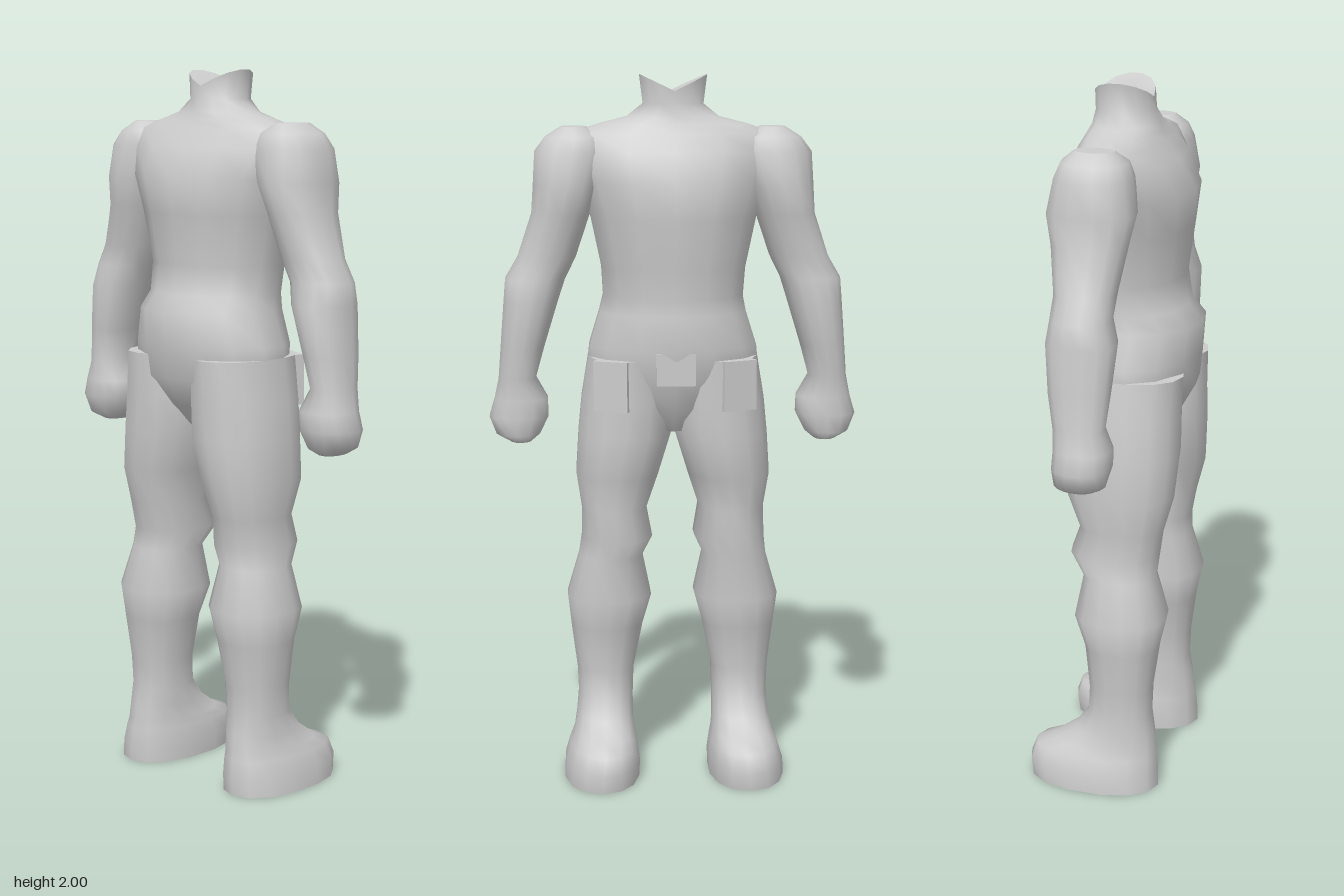
import * as THREE from 'three';

const SEG = 14;

// Skin horizontal rings, listed from top to bottom.
// ring = [y, xMin, xMax, zMin, zMax, sideLift]
function loft(rings, round = 0.9) {
  const pos = [], idx = [];
  const bend = v => Math.sign(v) * Math.pow(Math.abs(v), round);
  const addRing = ([y, x0, x1, z0, z1, lift = 0]) => {
    const start = pos.length / 3;
    for (let i = 0; i < SEG; i++) {
      const t = (i / SEG) * Math.PI * 2, c = bend(Math.cos(t)), s = bend(Math.sin(t));
      pos.push((x0 + x1) / 2 + c * (x1 - x0) / 2, y + lift * Math.abs(s), (z0 + z1) / 2 + s * (z1 - z0) / 2);
    }
    return start;
  };
  const addCap = (ring, top) => {
    const start = addRing(ring), centre = pos.length / 3;
    pos.push((ring[1] + ring[2]) / 2, ring[0], (ring[3] + ring[4]) / 2);
    for (let i = 0; i < SEG; i++) {
      const a = start + i, b = start + (i + 1) % SEG;
      if (top) idx.push(centre, b, a); else idx.push(centre, a, b);
    }
  };
  const starts = rings.map(addRing);
  for (let r = 0; r < rings.length - 1; r++) {
    for (let i = 0; i < SEG; i++) {
      const j = (i + 1) % SEG, p = starts[r], q = starts[r + 1];
      idx.push(p + i, p + j, q + i, p + j, q + j, q + i);
    }
  }
  addCap(rings[0], true);
  addCap(rings[rings.length - 1], false);
  const geo = new THREE.BufferGeometry();
  geo.setAttribute('position', new THREE.Float32BufferAttribute(pos, 3));
  geo.setIndex(idx);
  geo.computeVertexNormals();
  return geo;
}

// Neck, chest, waist and hips; half widths across z
const TORSO = [
  [1.955, -0.08, 0.08, 0.095, 0.045],
  [1.92, -0.085, 0.08, 0.085],
  [1.885, -0.1, 0.085, 0.13],
  [1.865, -0.105, 0.09, 0.21],
  [1.84, -0.12, 0.1, 0.29],
  [1.79, -0.155, 0.13, 0.3],
  [1.71, -0.2, 0.168, 0.27],
  [1.61, -0.19, 0.165, 0.235],
  [1.47, -0.172, 0.15, 0.205],
  [1.39, -0.185, 0.14, 0.2],
  [1.345, -0.225, 0.145, 0.21],
  [1.25, -0.215, 0.153, 0.24],
  [1.16, -0.205, 0.128, 0.25],
  [1.08, -0.16, 0.1, 0.17],
  [1.01, -0.1, 0.05, 0.06],
].map(([y, x0, x1, w, lift]) => [y, x0, x1, -w, w, lift]);

// Shoulder down to the closed hand
const ARM = [
  [1.858, -0.06, 0.05, 0.24, 0.31],
  [1.83, -0.095, 0.085, 0.19, 0.355],
  [1.79, -0.11, 0.1, 0.17, 0.385],
  [1.7, -0.125, 0.118, 0.2, 0.39],
  [1.62, -0.108, 0.1, 0.23, 0.395],
  [1.5, -0.088, 0.078, 0.27, 0.435],
  [1.44, -0.085, 0.078, 0.3, 0.47],
  [1.38, -0.105, 0.088, 0.32, 0.475],
  [1.25, -0.095, 0.075, 0.36, 0.485],
  [1.16, -0.085, 0.058, 0.385, 0.492],
  [1.1, -0.1, 0.058, 0.352, 0.505],
  [1.05, -0.1, 0.06, 0.35, 0.52],
  [1.0, -0.085, 0.055, 0.375, 0.5],
  [0.98, -0.05, 0.04, 0.4, 0.46],
];

// Thigh, knee, calf, ankle and foot with the toe along +x
const LEG = [
  [1.22, -0.205, 0.13, 0.01, 0.24],
  [1.1, -0.2, 0.125, 0, 0.26],
  [1.0, -0.2, 0.122, 0.003, 0.27],
  [0.88, -0.192, 0.115, 0.04, 0.277],
  [0.78, -0.165, 0.075, 0.073, 0.262],
  [0.7, -0.152, 0.105, 0.058, 0.262],
  [0.64, -0.147, 0.062, 0.085, 0.27],
  [0.52, -0.18, 0.085, 0.06, 0.305],
  [0.43, -0.16, 0.052, 0.085, 0.295],
  [0.3, -0.143, 0.04, 0.112, 0.278],
  [0.22, -0.14, 0.045, 0.115, 0.275],
  [0.165, -0.15, 0.085, 0.115, 0.28],
  [0.12, -0.155, 0.15, 0.112, 0.288],
  [0.098, -0.16, 0.205, 0.105, 0.3],
  [0.05, -0.165, 0.222, 0.098, 0.315],
  [0, -0.165, 0.215, 0.1, 0.318],
];

export function createModel() {
  const model = new THREE.Group();
  const grey = new THREE.MeshStandardMaterial({ color: 0xcccccc });
  grey.name = 'plain grey';

  const add = (name, geometry) => {
    const mesh = new THREE.Mesh(geometry, grey);
    mesh.name = name;
    model.add(mesh);
    return mesh;
  };
  const side = (rings, s) => rings.map(([y, x0, x1, z0, z1]) =>
    s > 0 ? [y, x0, x1, z0, z1] : [y, x0, x1, -z1, -z0]);

  add('torso', loft(TORSO, 1));

  // Limbs and thigh pockets on both sides
  for (const [s, label] of [[1, 'near'], [-1, 'far']]) {
    add(label + 'Arm', loft(side(ARM, s)));
    add(label + 'Leg', loft(side(LEG, s)));
    const pocket = add(label + 'Pocket', new THREE.BoxGeometry(0.03, 0.14, 0.1));
    pocket.position.set(0.105, 1.15, s * 0.175);
    pocket.rotation.y = -s * 0.4;
  }

  // Belt buckle
  add('buckle', new THREE.BoxGeometry(0.02, 0.09, 0.11)).position.set(0.135, 1.2, 0);

  return model;
}
